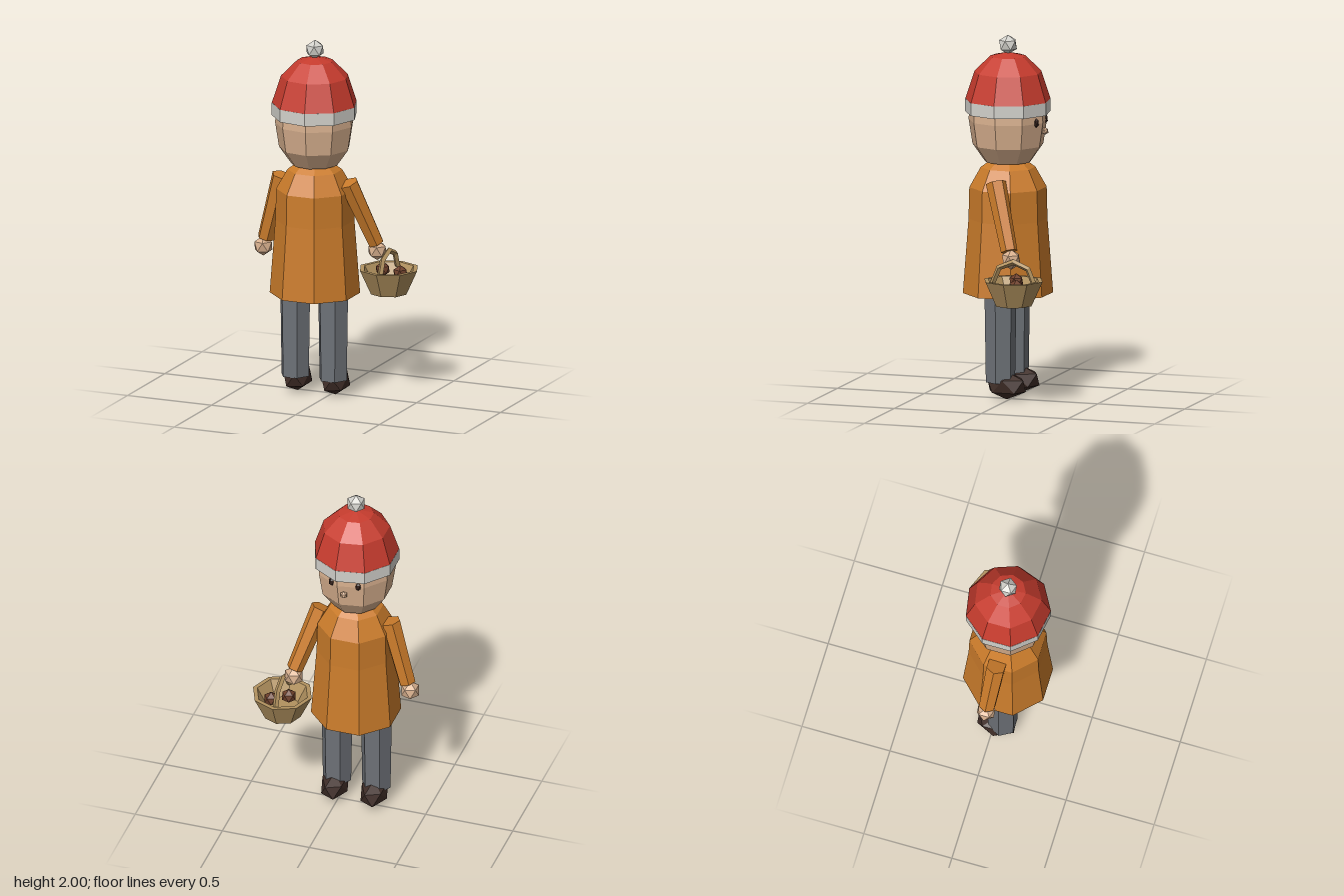
import * as THREE from 'three';

const CX = -0.085, CZ = 0.047; // body axis

const colors = {
  hatRed: 0xc73c2e, trimWhite: 0xd2d1cb, skin: 0xd8b08e, coatOrange: 0xcb7c2b, trouserGrey: 0x6d7177,
  shoeBrown: 0x3f2d27, wicker: 0xb2925f, nutBrown: 0x6e402b, eyeDark: 0x33201b,
};

export function createModel() {
  const model = new THREE.Group();
  model.name = 'basketCarrier';

  const mats = {};
  for (const [name, color] of Object.entries(colors)) {
    mats[name] = new THREE.MeshStandardMaterial({ color, flatShading: true });
    mats[name].name = name;
  }

  function add(name, geometry, mat, x = 0, y = 0, z = 0) {
    const flat = geometry.index ? geometry.toNonIndexed() : geometry;
    flat.computeVertexNormals();
    const mesh = new THREE.Mesh(flat, mats[mat]);
    mesh.name = name;
    mesh.position.set(x, y, z);
    model.add(mesh);
    return mesh;
  }

  // Faceted solid of revolution; profile is [radius, y] from bottom to top
  const lathe = (profile, sides, start) =>
    new THREE.LatheGeometry(profile.map(([r, y]) => new THREE.Vector2(r, y)), sides, start);

  // Icosahedron standing on one vertex, stretched per axis
  const ico = (rx, ry = rx, rz = rx) =>
    new THREE.IcosahedronGeometry(1, 0).rotateZ(-Math.atan(2 / (1 + Math.sqrt(5)))).scale(rx, ry, rz);

  // Hexagonal limb between two points
  function limb(name, mat, a, b, ra, rb) {
    const from = new THREE.Vector3(...a), to = new THREE.Vector3(...b);
    const dir = from.clone().sub(to);
    const mesh = add(name, new THREE.CylinderGeometry(ra, rb, dir.length(), 6, 1, false, Math.PI / 2), mat);
    mesh.position.copy(from).add(to).multiplyScalar(0.5);
    mesh.quaternion.setFromUnitVectors(new THREE.Vector3(0, 1, 0), dir.normalize());
  }

  // Legs and shoes
  for (const [side, s] of [['right', -1], ['left', 1]]) {
    const x = CX - 0.002 + s * 0.113;
    limb(side + 'Leg', 'trouserGrey', [x, 0.62, 0.052], [x, 0.1, 0.052], 0.089, 0.081);
    add(side + 'Shoe', ico(0.08, 0.077, 0.122), 'shoeBrown', x, 0.082, 0.017);
  }

  // Eight-sided coat
  const k = 1 / Math.cos(Math.PI / 8);
  const coat = [[0, 0.575], [0.2275, 0.575], [0.199, 0.985], [0.195, 1.16], [0.138, 1.27], [0.09, 1.308], [0, 1.308]];
  add('coat', lathe(coat.map(([r, y]) => [r * k, y]), 8, Math.PI / 8), 'coatOrange', CX, 0, CZ);

  // Arms and hands
  limb('rightArm', 'coatOrange', [-0.285, 1.215, 0.04], [-0.388, 0.845, 0.02], 0.056, 0.048);
  limb('leftArm', 'coatOrange', [0.115, 1.215, 0.048], [0.228, 0.86, -0.068], 0.056, 0.046);
  add('rightHand', ico(0.056), 'skin', -0.405, 0.797, 0.018);
  add('leftHand', ico(0.056), 'skin', 0.23, 0.817, -0.08);

  // Nine-sided head
  const head = [[0, 1.303], [0.13, 1.303], [0.196, 1.395], [0.217, 1.53], [0.213, 1.62], [0, 1.62]];
  add('head', lathe(head, 9, Math.PI / 2), 'skin', CX, 0, CZ);

  // Face, looking towards -z
  for (const [side, s] of [['right', -1], ['left', 1]]) {
    add(side + 'Eye', ico(0.019, 0.028, 0.016), 'eyeDark', CX + s * 0.075, 1.535, -0.141);
  }
  add('nose', ico(0.021), 'skin', CX, 1.48, -0.166);

  // Hat with trim and pompom
  add('hatTrim', lathe([[0.2, 1.572], [0.236, 1.572], [0.236, 1.642], [0.2, 1.642]], 9, Math.PI / 2), 'trimWhite', CX, 0, CZ);
  add('hat', lathe([[0.235, 1.642], [0.185, 1.795], [0.098, 1.883], [0, 1.906]], 9, Math.PI / 2), 'hatRed', CX, 0, CZ);
  add('pompom', ico(0.054), 'trimWhite', CX, 1.946, CZ);

  // Basket with thick walls, arched handle and nuts
  const bx = 0.285, bz = -0.112;
  const bowl = [[0, 0.575], [0.104, 0.575], [0.168, 0.713], [0.144, 0.713], [0.095, 0.625], [0, 0.625]];
  add('basket', lathe(bowl, 8, 0), 'wicker', bx, 0, bz);
  const handle = new THREE.TorusGeometry(0.118, 0.016, 4, 4, Math.PI).rotateY(Math.PI / 2);
  add('basketHandle', handle, 'wicker', bx, 0.695, bz);
  add('nut', ico(0.042), 'nutBrown', 0.247, 0.703, -0.115);
  add('nut', ico(0.042), 'nutBrown', 0.338, 0.685, -0.146);

  return model;
}
